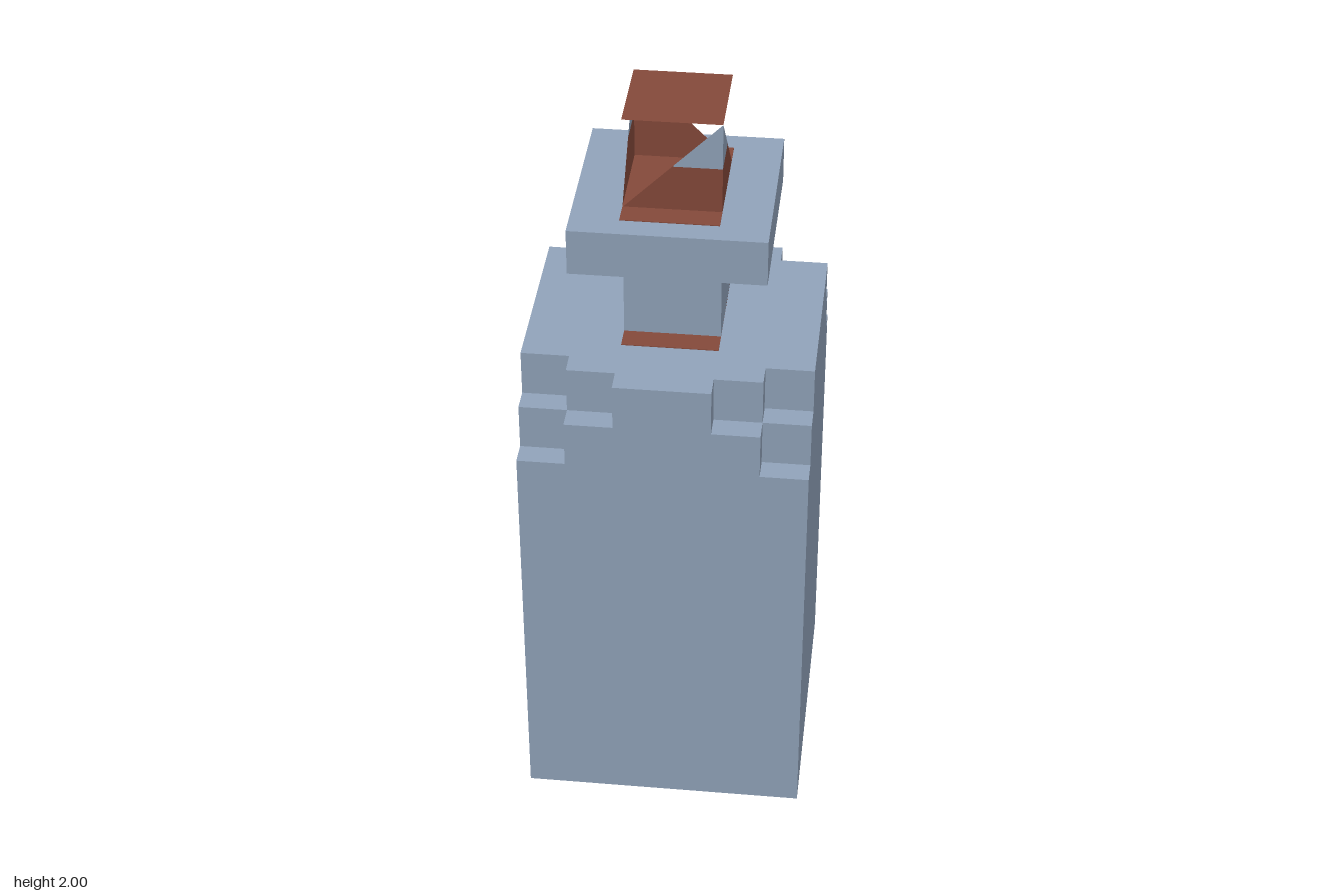
import * as THREE from 'three';

const U = 0.125; // grid unit

export function createModel() {
  const glass = new THREE.MeshStandardMaterial({ color: 0x91a3ba, side: THREE.DoubleSide });
  glass.name = 'blue grey glass';
  const rust = new THREE.MeshStandardMaterial({ color: 0x84493a, side: THREE.DoubleSide });
  rust.name = 'rust red';

  const model = new THREE.Group();
  model.name = 'bottle';

  const add = (parent, name, geometry, material) => {
    const mesh = new THREE.Mesh(geometry, material);
    mesh.name = name;
    parent.add(mesh);
    return mesh;
  };

  // Box standing on y0, square in plan
  const block = (name, width, y0, y1) => {
    add(model, name, new THREE.BoxGeometry(width, y1 - y0, width), glass).position.y = (y0 + y1) / 2;
  };

  // Slab whose stepped corner outline (x, z in units) is mirrored to all four quadrants
  const steppedSlab = (name, corner, y0, y1) => {
    const back = [...corner].reverse();
    const outline = [
      ...corner,
      ...back.map(([x, z]) => [-x, z]),
      ...corner.map(([x, z]) => [-x, -z]),
      ...back.map(([x, z]) => [x, -z]),
    ].map(([x, z]) => new THREE.Vector2(x * U, z * U));
    const geometry = new THREE.ExtrudeGeometry(new THREE.Shape(outline), { depth: y1 - y0, bevelEnabled: false });
    geometry.rotateX(-Math.PI / 2);
    add(model, name, geometry, glass).position.y = y0;
  };

  // Body with chipped shoulders
  block('body', 6 * U, 0, 9 * U);
  steppedSlab('lowerShoulder', [[3, 2.5], [2, 2.5], [2, 3]], 9 * U, 10 * U);
  steppedSlab('upperShoulder', [[3, 2], [2, 2], [2, 2.5], [1, 2.5], [1, 3]], 10 * U, 11 * U);

  // Neck and rim
  block('neck', 2 * U, 11 * U, 13 * U);
  block('rim', 4 * U, 13 * U, 14 * U);

  // Thin red patches around the foot of the neck and of the stopper
  for (const [name, y] of [['neckPatch', 11 * U], ['stopperPatch', 14 * U]]) {
    add(model, name, new THREE.BoxGeometry(2 * U, 0.004, 3 * U), rust).position.y = y;
  }

  // Stopper: four open half-square sides, red below and blue above, under a flat lid
  const stopper = new THREE.Group();
  stopper.name = 'stopper';
  stopper.position.y = 14 * U;
  model.add(stopper);
  const flat = (points, s) => new THREE.ShapeGeometry(
    new THREE.Shape(points.map(([x, y]) => new THREE.Vector2(s * x * U, y * U))));
  for (let i = 0; i < 4; i++) {
    const s = i % 2 ? -1 : 1;
    const side = new THREE.Group();
    side.name = 'stopperSide';
    side.rotation.y = i * Math.PI / 2;
    add(side, 'sideLower', flat([[-1, 0], [1, 0], [1, 1], [0, 1]], s), rust).position.z = U;
    add(side, 'sideUpper', flat([[0, 1], [1, 1], [1, 2]], s), glass).position.z = U;
    stopper.add(side);
  }
  const lid = add(stopper, 'lid', new THREE.PlaneGeometry(2 * U, 2 * U), rust);
  lid.rotation.x = -Math.PI / 2;
  lid.position.y = 2 * U;

  return model;
}
